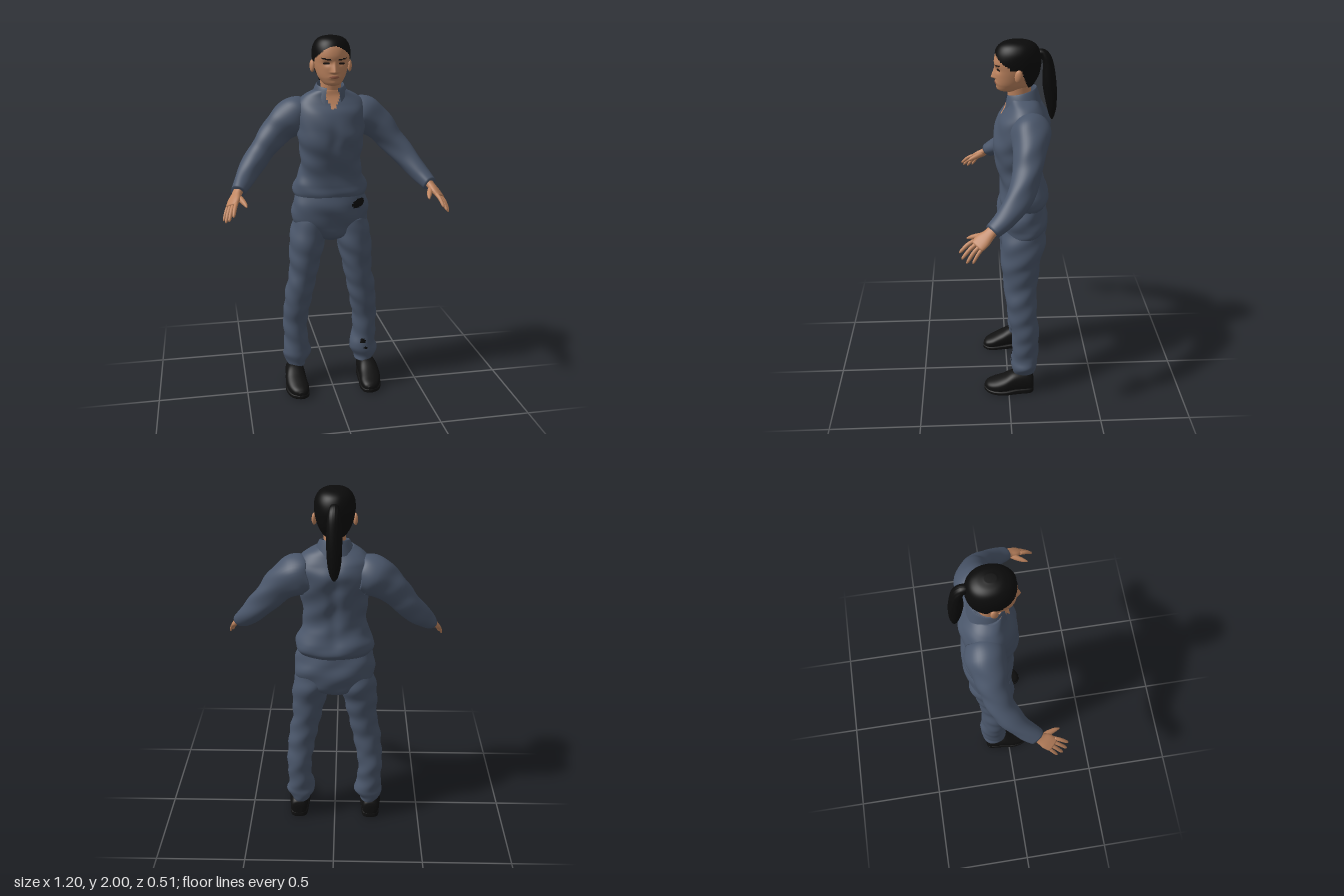
import * as THREE from 'three';

const V = (x, y, z) => new THREE.Vector3(x, y, z);
const mat = (name, color) => {
  const m = new THREE.MeshStandardMaterial({ color, side: THREE.DoubleSide });
  m.name = name;
  return m;
};

// Smooth skin through rings [x, y, z, halfSide, halfFront].
// axis: fixed ring normal (otherwise the path tangent); ref: the "front" direction.
function loft(rings, o = {}) {
  const { n = 40, steps = 6, axis, ref = V(0, 0, 1), p = 2, warp, paint, arc } = o;
  const path = new THREE.CatmullRomCurve3(rings.map(r => V(r[0], r[1], r[2])), false, 'catmullrom', 0.5);
  const size = new THREE.CatmullRomCurve3(rings.map(r => V(r[3], r[4], 0)), false, 'catmullrom', 0.5);
  const rows = (rings.length - 1) * steps, cols = arc ? n + 1 : n;
  const pos = [], pow = c => Math.sign(c) * Math.abs(c) ** (2 / p);
  const first = arc ? 0 : -1, last = arc ? rows : rows + 1;
  for (let i = first; i <= last; i++) {
    const t = Math.min(Math.max(i / rows, 0), 1);
    const c = path.getPoint(t), s = size.getPoint(t);
    const T = axis || path.getTangent(t);
    const S = T.clone().cross(ref).normalize(), F = S.clone().cross(T).normalize();
    const k = i < 0 || i > rows ? 0 : 1; // collapsed rows close the ends
    for (let j = 0; j < cols; j++) {
      const a = arc ? arc[0] + (arc[1] - arc[0]) * j / n : j / n * Math.PI * 2;
      const v = c.clone().addScaledVector(S, k * s.x * pow(Math.sin(a))).addScaledVector(F, k * s.y * pow(Math.cos(a)));
      if (warp) warp(v);
      pos.push(v.x, v.y, v.z);
    }
  }
  const lists = [];
  const mid = (ids, q) => ids.reduce((sum, i) => sum + pos[i * 3 + q], 0) / 4;
  for (let i = 0; i < last - first; i++) for (let j = 0; j < n; j++) {
    const a = i * cols + j, b = i * cols + (j + 1) % cols, d = a + cols, e = b + cols;
    const g = paint ? paint(mid([a, b, d, e], 0), mid([a, b, d, e], 1), mid([a, b, d, e], 2)) : 0;
    if (g >= 0) (lists[g] ||= []).push(a, b, e, a, e, d);
  }
  const geo = new THREE.BufferGeometry();
  geo.setAttribute('position', new THREE.Float32BufferAttribute(pos, 3));
  geo.setIndex(lists.flat());
  let start = 0;
  lists.forEach((l, g) => { geo.addGroup(start, l.length, g); start += l.length; });
  geo.computeVertexNormals();
  return geo;
}

export function createModel() {
  const root = new THREE.Group();
  root.name = 'standingWoman';
  const cloth = mat('slateCloth', 0x4a566a), skin = mat('skin', 0xbf8560), hair = mat('blackHair', 0x0b0b0b);
  const shoe = mat('blackLeather', 0x101010), lip = mat('lips', 0x9c6049), dark = mat('darkEyes', 0x1c1512);
  const add = (name, geo, ...m) => {
    const mesh = new THREE.Mesh(geo, geo.groups.length ? m : m[0]);
    mesh.name = name;
    root.add(mesh);
    return mesh;
  };
  const UP = V(0, 1, 0);
  const bump = (d, w) => Math.exp(-((d / w) ** 2));
  const oval = (x, y, cx, cy, rx, ry) => ((x - cx) / rx) ** 2 + ((y - cy) / ry) ** 2 < 1;
  // Soft cloth folds
  const folds = v => {
    const { x, y, z } = v;
    v.x += 0.003 * Math.sin(y * 55 + z * 30);
    v.z += 0.003 * Math.sin(y * 42 + x * 28);
  };

  // Shirt body, with a groove down the back and an open neck
  const shirt = [
    [0, 1.14, -0.085, 0.19, 0.122], [0, 1.17, -0.09, 0.205, 0.133], [0, 1.21, -0.09, 0.203, 0.128],
    [0, 1.27, -0.08, 0.175, 0.118], [0, 1.35, -0.065, 0.164, 0.122], [0, 1.45, -0.062, 0.176, 0.137],
    [0, 1.52, -0.07, 0.185, 0.14], [0, 1.6, -0.087, 0.19, 0.135], [0, 1.65, -0.09, 0.182, 0.108],
    [0, 1.69, -0.085, 0.145, 0.084], [0, 1.72, -0.075, 0.09, 0.07]];
  add('shirt', loft(shirt, {
    n: 110, steps: 9, axis: UP, p: 2.25,
    warp: v => {
      if (v.z < -0.1) v.z += 0.014 * bump(v.x, 0.03) * bump(v.y - 1.45, 0.2);
      else if (v.z > 0) v.z -= 0.008 * bump(v.x, 0.03) * bump(v.y - 1.47, 0.07);
      folds(v);
    },
    paint: (x, y, z) => (z > -0.05 && y > 1.615 && Math.abs(x) < (y - 1.615) * 0.55 ? 1 : 0)
  }), cloth, skin);

  // Folded collar, open at the front
  add('collar', loft([[0, 1.68, -0.072, 0.068, 0.072], [0, 1.745, -0.072, 0.07, 0.073],
    [0, 1.742, -0.072, 0.079, 0.081], [0, 1.675, -0.075, 0.108, 0.098]], {
    n: 48, axis: UP, arc: [0.42, Math.PI * 2 - 0.42],
    warp: v => { v.y -= (v.z + 0.08) * 0.25; }
  }), cloth);

  // Trouser seat, with a dark patch below the hem
  add('trouserSeat', loft([[0, 0.885, -0.09, 0.03, 0.05], [0, 0.92, -0.09, 0.12, 0.105],
    [0, 0.98, -0.09, 0.2, 0.123], [0, 1.04, -0.088, 0.215, 0.135], [0, 1.1, -0.08, 0.209, 0.132],
    [0, 1.16, -0.08, 0.19, 0.118]], {
    n: 120, steps: 12, axis: UP, p: 2.2, warp: folds,
    paint: (x, y, z) => (z > -0.03 && oval(x, y + 0.2 * (0.14 - x), 0.14, 1.11, 0.038, 0.024) ? 1 : 0)
  }), cloth, hair);

  const leg = [
    [0.2, 0.125, -0.085, 0.05, 0.063], [0.205, 0.15, -0.09, 0.06, 0.068], [0.2, 0.19, -0.092, 0.082, 0.076],
    [0.197, 0.23, -0.092, 0.076, 0.075], [0.203, 0.3, -0.095, 0.068, 0.075], [0.205, 0.4, -0.095, 0.07, 0.076],
    [0.193, 0.5, -0.08, 0.075, 0.08], [0.178, 0.6, -0.07, 0.08, 0.085], [0.157, 0.7, -0.068, 0.08, 0.093],
    [0.145, 0.8, -0.068, 0.09, 0.104], [0.135, 0.87, -0.072, 0.098, 0.112], [0.122, 0.95, -0.085, 0.1, 0.12],
    [0.11, 1.02, -0.088, 0.09, 0.11]];
  const arm = [
    [0.13, 1.585, -0.11, 0.09, 0.09], [0.19, 1.575, -0.11, 0.105, 0.1], [0.27, 1.522, -0.1, 0.086, 0.082],
    [0.35, 1.43, -0.08, 0.07, 0.07], [0.42, 1.345, -0.04, 0.062, 0.064], [0.48, 1.268, 0.03, 0.05, 0.053],
    [0.518, 1.22, 0.092, 0.038, 0.042]];
  const upper = [
    [0.215, 0.06, -0.145, 0.02, 0.03], [0.215, 0.066, -0.135, 0.044, 0.05], [0.215, 0.074, -0.1, 0.052, 0.06],
    [0.217, 0.075, -0.03, 0.056, 0.06], [0.217, 0.056, 0.03, 0.06, 0.046], [0.21, 0.044, 0.08, 0.057, 0.034],
    [0.204, 0.036, 0.12, 0.04, 0.024], [0.2, 0.03, 0.138, 0.015, 0.012]];
  const sole = [
    [0.215, 0.02, -0.145, 0.025, 0.016], [0.215, 0.02, -0.125, 0.048, 0.018], [0.215, 0.02, -0.05, 0.056, 0.018],
    [0.217, 0.017, 0.02, 0.063, 0.014], [0.21, 0.014, 0.08, 0.06, 0.013], [0.204, 0.014, 0.12, 0.043, 0.012],
    [0.2, 0.017, 0.142, 0.014, 0.01]];
  const palm = [
    [0.508, 1.235, 0.08, 0.022, 0.028], [0.524, 1.21, 0.107, 0.02, 0.03],
    [0.54, 1.187, 0.138, 0.018, 0.04], [0.557, 1.163, 0.168, 0.013, 0.038]];
  const tips = [[0.55, 1.128, 0.25], [0.572, 1.105, 0.24], [0.588, 1.092, 0.217], [0.598, 1.095, 0.188]];

  for (const s of [1, -1]) {
    const side = s > 0 ? 'left' : 'right';
    const flip = rings => rings.map(([x, ...r]) => [s * x, ...r]);
    add(side + 'TrouserLeg', loft(flip(leg), {
      n: 56, steps: 8, axis: UP, warp: folds,
      paint: (x, y, z) => (s > 0 && z > -0.07 &&
        (oval(x, y, 0.185, 0.255, 0.017, 0.014) || oval(x, y, 0.2, 0.215, 0.014, 0.006)) ? 1 : 0)
    }), cloth, hair);
    add(side + 'Sleeve', loft(flip(arm), { n: 44, steps: 9, warp: folds }), cloth);
    add(side + 'Shoe', loft(flip(upper), { axis: V(0, 0, 1), ref: UP, p: 2.4 }), shoe);
    add(side + 'Sole', loft(flip(sole), { axis: V(0, 0, 1), ref: UP, p: 5 }), shoe);

    // Hand: flat palm, four spread fingers and a thumb
    const across = V(s * 0.667, -0.333, -0.667);
    add(side + 'Palm', loft(flip(palm), { n: 28, ref: across, p: 2.4 }), skin);
    tips.forEach((t, i) => {
      const a = V(s * 0.55, 1.172, 0.158).addScaledVector(across, -0.03 + i * 0.02);
      const b = V(s * t[0], t[1], t[2]), r = i === 3 ? 0.0085 : 0.01;
      const at = (k, w) => {
        const q = a.clone().lerp(b, k);
        return [q.x, q.y + 0.008 * Math.sin(k * Math.PI), q.z, w, w];
      };
      add(side + 'Finger' + (i + 1), loft([at(0, r), at(0.45, r), at(0.88, r * 0.8), at(1, r * 0.3)],
        { n: 14, steps: 4, ref: across }), skin);
    });
    add(side + 'Thumb', loft(flip([[0.522, 1.205, 0.112, 0.014, 0.014], [0.503, 1.192, 0.15, 0.015, 0.015],
      [0.487, 1.178, 0.19, 0.011, 0.011], [0.48, 1.168, 0.214, 0.004, 0.004]]), { n: 16, ref: across }), skin);

    // Ear
    const ear = add(side + 'Ear', new THREE.SphereGeometry(1, 20, 14), skin);
    ear.scale.set(0.012, 0.032, 0.019);
    ear.position.set(s * 0.1, 1.845, -0.052);
    ear.rotation.set(-0.15, s * -0.3, 0);
  }

  add('neck', loft([[0, 1.62, -0.075, 0.06, 0.06], [0, 1.7, -0.065, 0.054, 0.058],
    [0, 1.79, -0.058, 0.056, 0.062]], { axis: UP }), skin);

  // Head, with nose, eye sockets, cheeks and lips pushed out of the front
  const head = [
    [0, 1.747, -0.015, 0.024, 0.04], [0, 1.756, -0.02, 0.045, 0.065], [0, 1.78, -0.035, 0.064, 0.09],
    [0, 1.8, -0.04, 0.074, 0.098], [0, 1.83, -0.047, 0.084, 0.107], [0, 1.86, -0.05, 0.091, 0.111],
    [0, 1.9, -0.05, 0.096, 0.115], [0, 1.94, -0.051, 0.092, 0.107], [0, 1.97, -0.052, 0.076, 0.089],
    [0, 1.987, -0.053, 0.052, 0.06], [0, 1.994, -0.053, 0.02, 0.024]];
  const face = v => {
    if (v.z < 0) return;
    const ax = Math.abs(v.x), y = v.y;
    const ridge = y > 1.818 ? Math.max(0, 1 - (y - 1.818) / 0.055) : bump(y - 1.818, 0.006);
    v.z += 0.022 * ridge * bump(ax, 0.008 + 0.008 * ridge)
      - 0.009 * bump(ax - 0.036, 0.02) * bump(y - 1.862, 0.014)
      + 0.005 * bump(ax, 0.025) * bump(y - 1.793, 0.009)
      + 0.004 * bump(ax, 0.022) * bump(y - 1.762, 0.01);
  };
  add('head', loft(head, {
    n: 180, steps: 11, axis: UP, p: 2.1, warp: face,
    paint: (x, y, z) => {
      const ax = Math.abs(x);
      if (z < 0) return 0;
      if (oval(ax, y, 0.041, 1.862, 0.016, 0.006)) return 2;
      if (ax > 0.018 && ax < 0.064 && Math.abs(y - 1.879 - 0.18 * (ax - 0.018)) < 0.0035) return 2;
      return oval(x, y, 0, 1.793, 0.025, 0.007) ? 1 : 0;
    }
  }), skin, lip, dark);

  // Hair drawn back tight over the skull
  const hairLine = (x, z) => (z > -0.012 ? 1.947 - 7 * x * x : z > -0.07 ? 1.868 : 1.86 + 2.6 * (z + 0.07));
  const centre = V(0, 1.87, -0.05);
  add('hairCap', loft(head, {
    n: 120, steps: 8, axis: UP, p: 2.1,
    warp: v => v.sub(centre).multiplyScalar(1.05).add(centre),
    paint: (x, y, z) => (y > Math.max(1.772, hairLine(x, z)) ? 0 : -1)
  }), hair);
  add('ponytail', loft([[0, 1.925, -0.14, 0.018, 0.02], [0, 1.935, -0.175, 0.02, 0.024],
    [0, 1.89, -0.203, 0.026, 0.034], [0, 1.78, -0.214, 0.035, 0.038], [0, 1.68, -0.226, 0.027, 0.033],
    [0, 1.62, -0.23, 0.014, 0.02], [0, 1.595, -0.232, 0.004, 0.006]], {
    n: 36, ref: V(1, 0, 0), warp: v => { v.z += 0.0015 * Math.sin(v.x * 500); }
  }), hair);

  return root;
}
